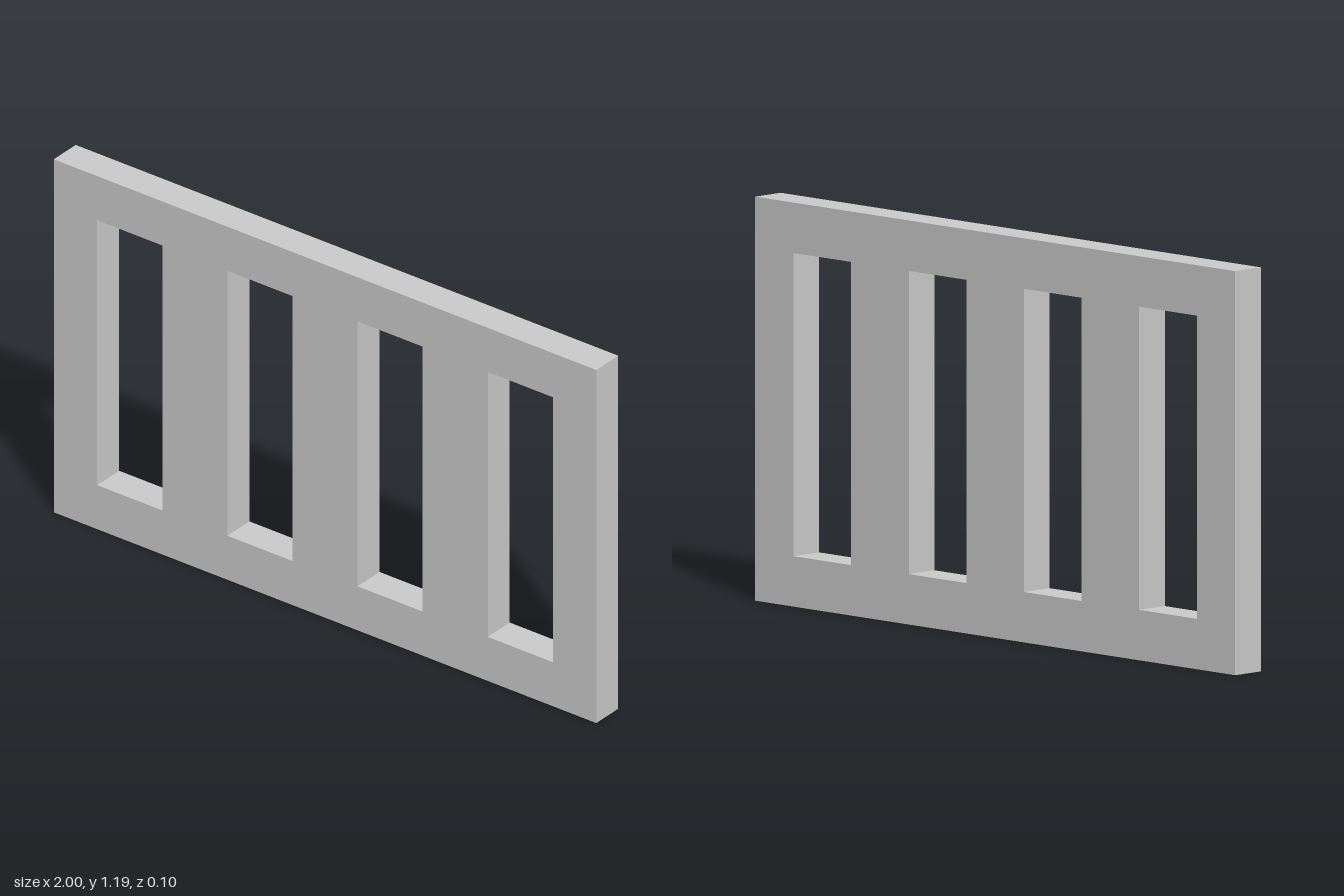
import * as THREE from 'three';

const WIDTH = 2, HEIGHT = 1.194, DEPTH = 0.105;
const SLOT_WIDTH = 0.24, SLOT_PITCH = 0.48, SLOT_COUNT = 4;
const RAIL = 0.149; // height of the top and bottom rails

// Adds a closed rectangle to a shape or path
function rectangle(path, x0, y0, x1, y1) {
  path.moveTo(x0, y0);
  path.lineTo(x1, y0);
  path.lineTo(x1, y1);
  path.lineTo(x0, y1);
  path.closePath();
  return path;
}

export function createModel() {
  const group = new THREE.Group();
  group.name = 'slottedPanel';

  // Outer panel outline
  const outline = rectangle(new THREE.Shape(), -WIDTH / 2, 0, WIDTH / 2, HEIGHT);

  // Evenly spaced upright slots
  for (let i = 0; i < SLOT_COUNT; i++) {
    const x = (i - (SLOT_COUNT - 1) / 2) * SLOT_PITCH;
    outline.holes.push(
      rectangle(new THREE.Path(), x - SLOT_WIDTH / 2, RAIL, x + SLOT_WIDTH / 2, HEIGHT - RAIL)
    );
  }

  const geometry = new THREE.ExtrudeGeometry(outline, { depth: DEPTH, bevelEnabled: false });
  geometry.translate(0, 0, -DEPTH / 2);

  const panel = new THREE.Mesh(
    geometry,
    new THREE.MeshStandardMaterial({ color: 0xcccccc, flatShading: true })
  );
  panel.name = 'panel';
  group.add(panel);
  return group;
}
